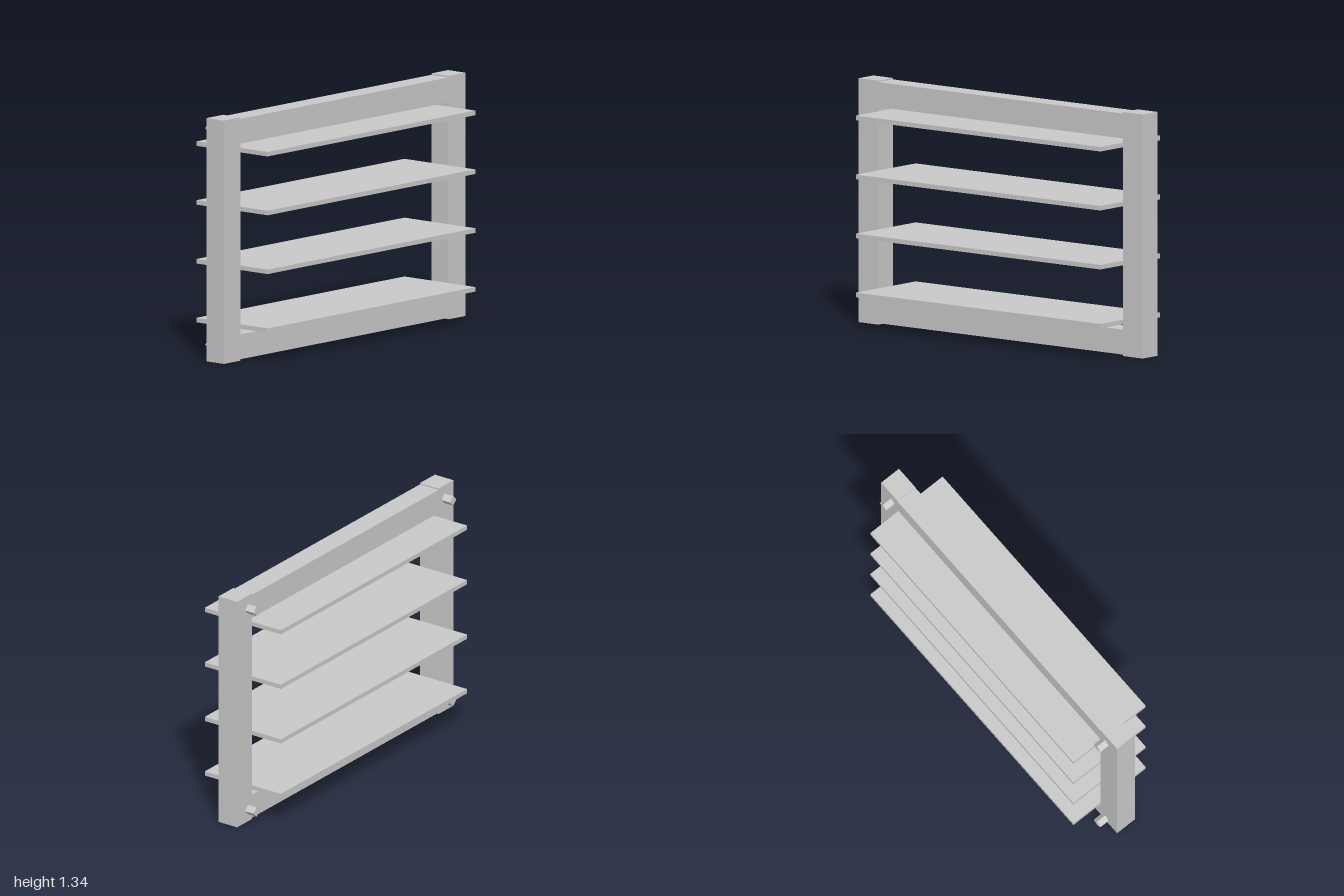
import * as THREE from 'three';

export function createModel() {
  const model = new THREE.Group();
  const grey = new THREE.MeshStandardMaterial({ color: 0xc8c8c8 });
  grey.name = 'light grey';

  const add = (name, geometry, x, y, z) => {
    const mesh = new THREE.Mesh(geometry, grey);
    mesh.name = name;
    mesh.position.set(x, y, z);
    model.add(mesh);
  };

  const H = 1.34, depth = 0.125, inner = 0.861, postWidth = 1 - inner;

  // Upright posts at the two sides
  const post = new THREE.BoxGeometry(postWidth, H, depth);
  for (const s of [1, -1]) {
    add(s > 0 ? 'leftPost' : 'rightPost', post, s * (inner + postWidth / 2), H / 2, 0);
  }

  // Rails, set slightly inside the ends of the posts
  const rail = new THREE.BoxGeometry(inner * 2, 0.137, depth);
  add('bottomRail', rail, 0, 0.0765, 0);
  add('topRail', rail, 0, H - 0.0765, 0);

  // Four flat slats passing through the frame
  const slat = new THREE.BoxGeometry(inner * 2, 0.025, 0.51);
  for (let i = 0; i < 4; i++) add('slat' + (i + 1), slat, 0, 0.187 + i * 0.324, 0);

  // Diamond-section pegs behind the four corners
  const peg = new THREE.CylinderGeometry(0.0285, 0.0285, 0.058, 4).rotateX(Math.PI / 2).toNonIndexed();
  peg.computeVertexNormals();
  for (const x of [-0.908, 0.908]) {
    for (const y of [0.075, 1.267]) add('cornerPeg', peg, x, y, -0.098);
  }

  return model;
}
